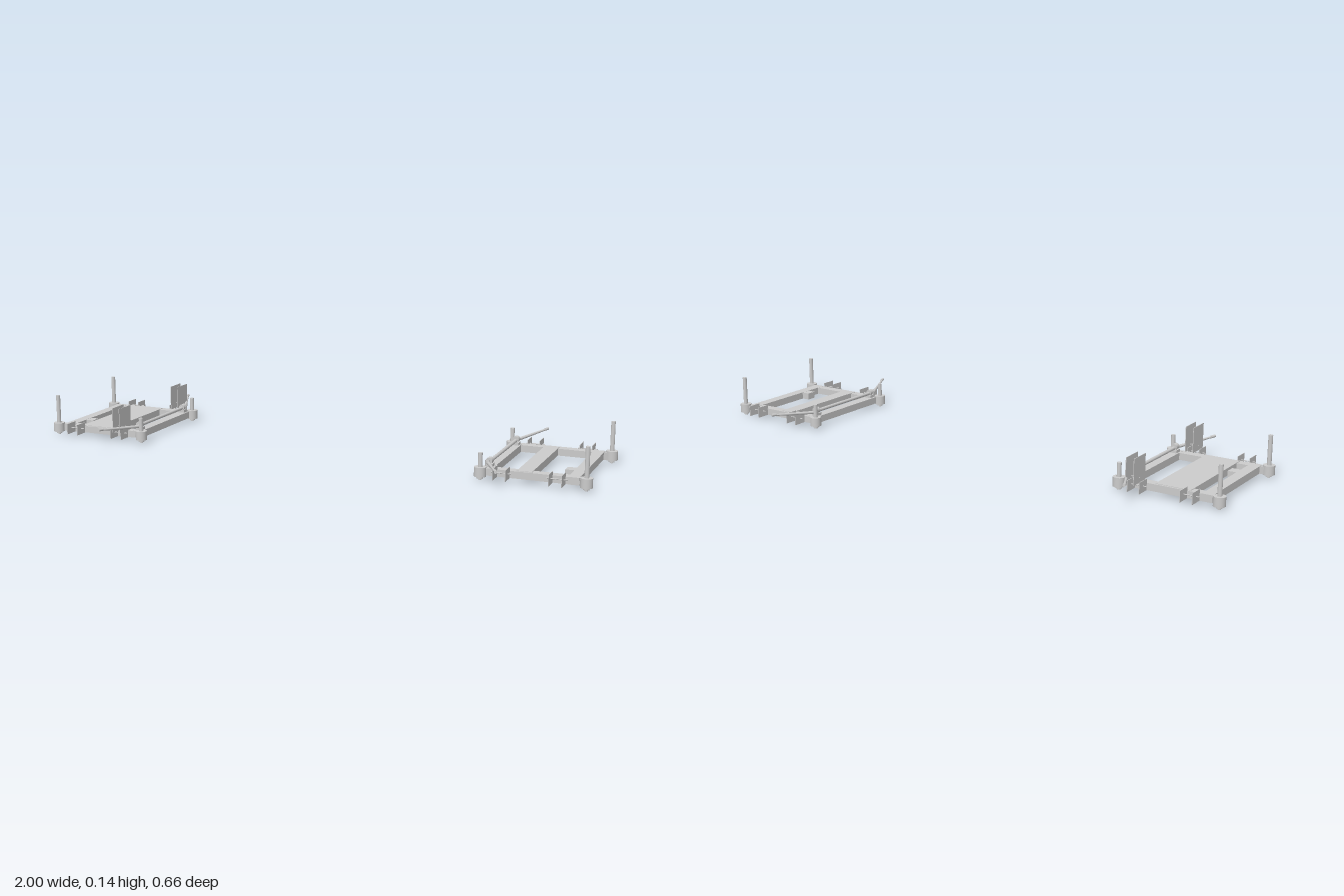
import * as THREE from 'three';

const grey = new THREE.MeshStandardMaterial({ color: 0xcccccc });

function add(group, name, geometry, x = 0, y = 0, z = 0) {
  const mesh = new THREE.Mesh(geometry, grey);
  mesh.name = name;
  mesh.position.set(x, y, z);
  group.add(mesh);
  return mesh;
}

// Box given by its limits on each axis (in any order)
function block(group, name, x0, x1, y0, y1, z0, z1) {
  const geometry = new THREE.BoxGeometry(Math.abs(x1 - x0), y1 - y0, Math.abs(z1 - z0));
  return add(group, name, geometry, (x0 + x1) / 2, (y0 + y1) / 2, (z0 + z1) / 2);
}

// Round bar between two points, with its own radius at each end
function bar(group, name, from, to, r0, r1 = r0, sides = 16) {
  const a = new THREE.Vector3(...from), b = new THREE.Vector3(...to);
  const d = b.clone().sub(a);
  const mid = a.clone().add(b).multiplyScalar(0.5);
  const mesh = add(group, name, new THREE.CylinderGeometry(r1, r0, d.length(), sides), ...mid);
  mesh.quaternion.setFromUnitVectors(new THREE.Vector3(0, 1, 0), d.normalize());
  return mesh;
}

// Corner socket with its foot bolt, pole and connecting bracket
function corner(group, x, z, top, s, t, toward) {
  const post = new THREE.Group();
  post.name = 'cornerPost';
  bar(post, 'socket', [x, 0.011, z], [x, 0.043, z], 0.02, 0.02, 24);
  bar(post, 'footBolt', [x, 0.004, z], [x, 0.012, z], 0.01);
  bar(post, 'footTip', [x, 0, z], [x, 0.005, z], 0.005);
  bar(post, 'pole', [x, 0.04, z], [x, top, z], 0.0075);
  const bracket = block(post, 'bracket', -0.02, 0.02, 0.014, 0.039, -0.008, 0.008);
  bracket.position.x = x + toward * s * 0.019;
  bracket.position.z = z - t * 0.012;
  bracket.rotation.y = toward * s * t * 0.55;
  group.add(post);
}

// Pair of thin upright plates joined by a thin pin
function platePair(group, s, xs, y0, y1, z0, z1, pinY, overhang) {
  const pair = new THREE.Group();
  pair.name = 'platePair';
  for (const x of xs)
    block(pair, 'thinPlate', s * x - 0.001, s * x + 0.001, y0, y1, z0, z1);
  const z = (z0 + z1) / 2;
  bar(pair, 'pin', [s * (xs[0] - overhang), pinY, z], [s * (xs[1] + overhang), pinY, z], 0.002, 0.002, 8);
  group.add(pair);
}

function buildFrame(s, plate, tallPlates) {
  const g = new THREE.Group();
  g.name = s > 0 ? 'leftFrame' : 'rightFrame';

  // Long beams, middle deck and small block on the outer beam
  block(g, 'outerBeam', s * 0.92, s * 0.957, 0.015, 0.04, -0.19, 0.19);
  block(g, 'innerBeam', s * 0.636, s * 0.672, 0.015, 0.04, -0.18, 0.18);
  block(g, 'middleDeck', s * plate[0], s * plate[1], 0.0155, 0.041, -0.183, 0.183);
  block(g, 'beamBlock', s * 0.89, s * 0.921, 0.0155, 0.0395, 0.066, 0.102);

  // Locking rod above the inner beam
  bar(g, 'rod', [s * 0.655, 0.056, -0.16], [s * 0.655, 0.056, 0.16], 0.006);

  for (const t of [-1, 1]) {
    block(g, 'endBeam', s * 0.638, s * 0.955, 0.0155, 0.0395, t * 0.158, t * 0.19);
    corner(g, s * 0.98, t * 0.19, 0.145, s, t, -1);
    corner(g, s * 0.632, t * 0.19, 0.09, s, t, 1);

    // Rod holder and end fitting
    block(g, 'rodHolder', s * 0.643, s * 0.667, 0.038, 0.05, t * 0.145, t * 0.171);
    bar(g, 'rodFitting', [s * 0.655, 0.059, t * 0.149], [s * 0.655, 0.059, t * 0.169], 0.011);

    // Swinging lever with a knob at its tip
    const lever = new THREE.Group();
    lever.name = 'lever';
    bar(lever, 'leverArm', [s * 0.65, 0.053, t * 0.165], [s * 0.72, 0.066, t * 0.318], 0.006, 0.0035, 12);
    bar(lever, 'leverTip', [s * 0.717, 0.066, t * 0.308], [s * 0.723, 0.067, t * 0.326], 0.005, 0.005, 12);
    bar(lever, 'leverPivot', [s * 0.65, 0.04, t * 0.167], [s * 0.65, 0.062, t * 0.167], 0.008);
    g.add(lever);

    // Low guide plates, and tall ones where fitted
    for (const xs of [[0.688, 0.73], [0.87, 0.912]])
      platePair(g, s, xs, 0.015, 0.053, t * 0.188, t * 0.24, 0.035, 0.012);
    if (tallPlates)
      platePair(g, s, [0.686, 0.714], 0.042, 0.13, t * 0.172, t * 0.248, 0.06, 0.003);
  }
  return g;
}

export function createModel() {
  const model = new THREE.Group();
  model.name = 'supportFrames';
  model.add(buildFrame(-1, [0.757, 0.88], true));
  model.add(buildFrame(1, [0.752, 0.802], false));
  return model;
}
